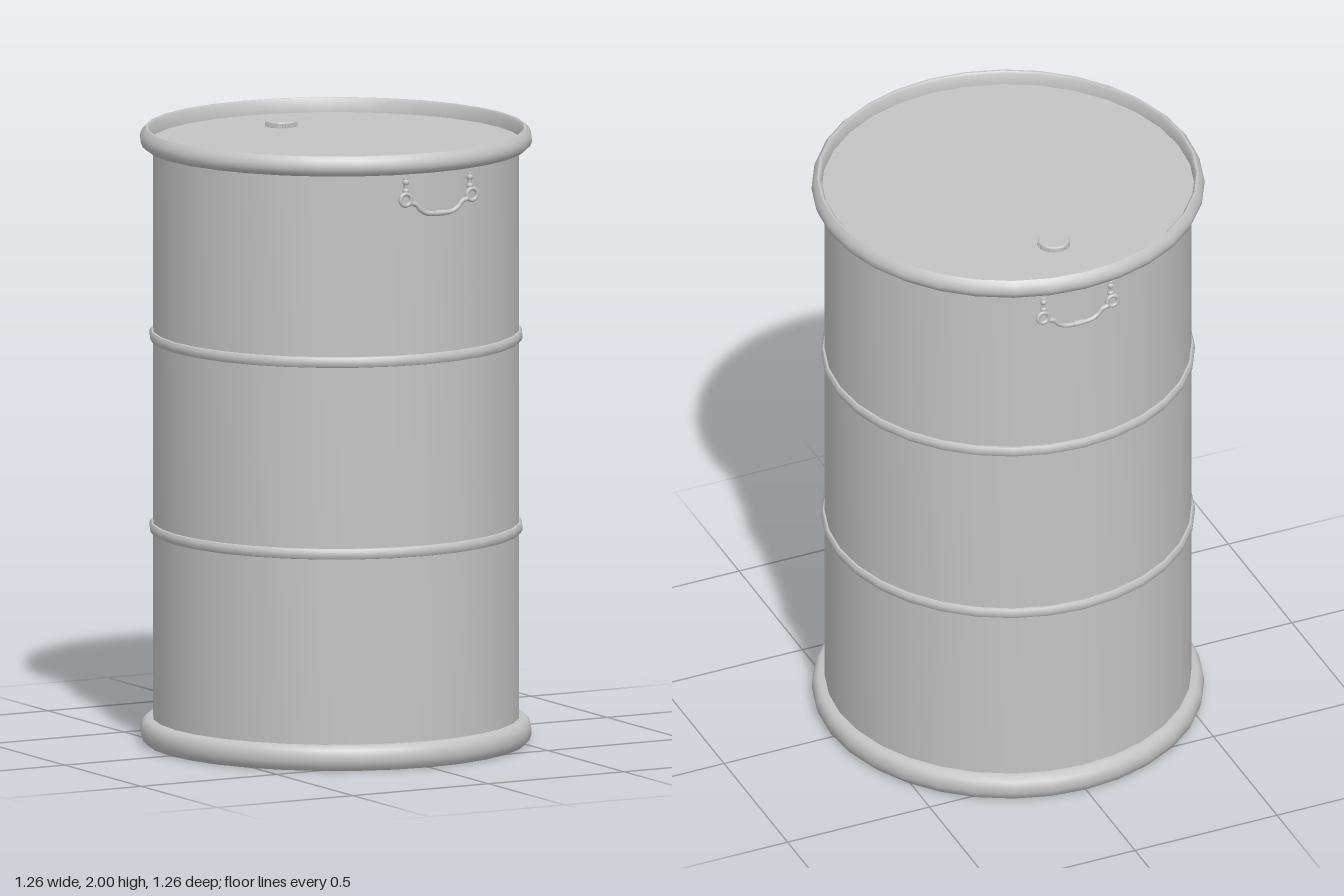
import * as THREE from 'three';
import { toCreasedNormals } from 'three/addons/utils/BufferGeometryUtils.js';

const steel = new THREE.MeshStandardMaterial({ color: 0xc4c4c4 });
steel.name = 'grey steel';

function add(parent, name, geometry) {
  const mesh = new THREE.Mesh(geometry, steel);
  mesh.name = name;
  parent.add(mesh);
  return mesh;
}

// Turned part from [radius, height] pairs, listed from the bottom up
function turned(points, segments = 32) {
  const profile = points.map(([r, y]) => new THREE.Vector2(r, y));
  return toCreasedNormals(new THREE.LatheGeometry(profile, segments), 0.75);
}

// Bail handle hanging from two eyelets, modelled about x = 0 on the +z side
function makeHandle() {
  const handle = new THREE.Group();
  const half = [[0.104, 1.838], [0.085, 1.832], [0.07, 1.815], [0.048, 1.802], [0.02, 1.799]];
  const path = [
    ...half.map(([x, y]) => new THREE.Vector3(-x, y, 0.598)),
    ...half.slice().reverse().map(([x, y]) => new THREE.Vector3(x, y, 0.598)),
  ];
  add(handle, 'handleBar', new THREE.TubeGeometry(new THREE.CatmullRomCurve3(path), 32, 0.008, 8));
  const grip = add(handle, 'handleGrip', new THREE.CylinderGeometry(0.0095, 0.0095, 0.035, 10));
  grip.rotation.z = Math.PI / 2;
  grip.position.set(0, 1.799, 0.598);

  for (const side of [-1, 1]) {
    const eyelet = add(handle, 'handleEyelet', new THREE.TorusGeometry(0.019, 0.007, 8, 18));
    eyelet.position.set(side * 0.122, 1.85, 0.595);
    const post = add(handle, 'handlePost', new THREE.CylinderGeometry(0.007, 0.007, 0.06, 8));
    post.position.set(side * 0.118, 1.89, 0.588);
    for (const y of [1.878, 1.906]) {
      const bead = add(handle, 'handleBead', new THREE.SphereGeometry(0.011, 10, 8));
      bead.position.set(side * 0.118, y, 0.588);
    }
  }
  return handle;
}

export function createModel() {
  const drum = new THREE.Group();
  drum.name = 'drum';

  // Cylindrical wall
  add(drum, 'wall', turned([[0.59, 0.06], [0.59, 1.95]]));

  // Foot ring with the closed base
  add(drum, 'footRing', turned([
    [0, 0], [0.612, 0], [0.624, 0.012], [0.63, 0.03], [0.63, 0.05],
    [0.624, 0.068], [0.612, 0.08], [0.588, 0.082],
  ]));

  // Rolled top rim, open inside down to the lid
  add(drum, 'topRim', turned([
    [0.588, 1.933], [0.614, 1.935], [0.626, 1.945], [0.632, 1.96], [0.631, 1.973],
    [0.625, 1.988], [0.614, 2], [0.607, 2], [0.601, 1.993], [0.6, 1.95],
  ]));
  const lid = add(drum, 'lid', new THREE.CircleGeometry(0.602, 32));
  lid.rotation.x = -Math.PI / 2;
  lid.position.y = 1.953;

  // Two rolling hoops
  for (const y of [0.702, 1.326]) {
    add(drum, 'hoop', turned([
      [0.588, y - 0.018], [0.596, y - 0.016], [0.601, y - 0.007],
      [0.601, y + 0.007], [0.596, y + 0.016], [0.588, y + 0.018],
    ]));
  }

  // Filler cap with a finely ribbed edge
  const cap = new THREE.Group();
  cap.name = 'fillerCap';
  cap.position.set(0, 1.953, -0.36);
  add(cap, 'capBody', turned([[0.05, 0], [0.05, 0.015], [0.047, 0.018], [0, 0.018]], 32));
  const ribGeometry = new THREE.BoxGeometry(0.005, 0.012, 0.005);
  for (let i = 0; i < 32; i++) {
    const a = (i / 32) * Math.PI * 2;
    const rib = add(cap, 'capRib', ribGeometry);
    rib.position.set(Math.sin(a) * 0.05, 0.007, Math.cos(a) * 0.05);
    rib.rotation.y = a;
  }
  drum.add(cap);

  // Handles on the front and back
  const frontHandle = makeHandle();
  frontHandle.name = 'frontHandle';
  frontHandle.position.x = 0.045;
  const backHandle = makeHandle();
  backHandle.name = 'backHandle';
  backHandle.rotation.y = Math.PI;
  backHandle.position.x = 0.02;
  drum.add(frontHandle, backHandle);

  return drum;
}
